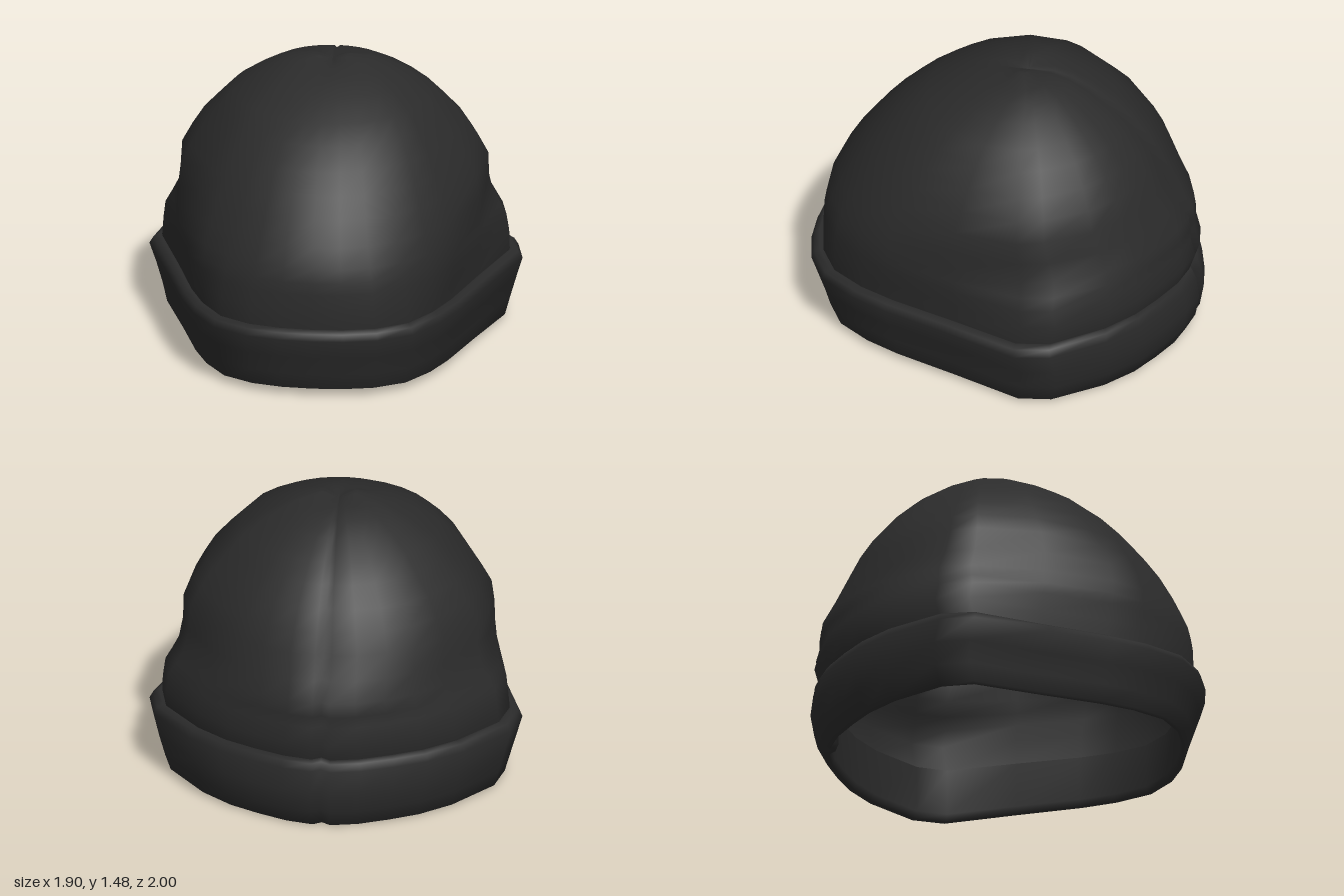
import * as THREE from 'three';

const { lerp, smoothstep } = THREE.MathUtils;

// Half of the plan outline, from the back middle round the left side to the front
const HALF = [
  [0, -1], [0.05, -1], [0.2, -0.97], [0.37, -0.9], [0.53, -0.82], [0.7, -0.69], [0.91, -0.44],
  [0.95, -0.26], [0.82, 0.13], [0.71, 0.48], [0.63, 0.67], [0.51, 0.85], [0.34, 0.95], [0.17, 0.99], [0, 1],
];
const OUTLINE = [...HALF, ...HALF.slice(1, -1).reverse().map(([x, z]) => [-x, z])];

// Cross-sections: height, half width behind, front z, back z, half width in front
const DOME = [
  [0.3, 0.87, 0.93, -0.93, 0.87], [0.39, 0.885, 0.94, -0.95, 0.885], [0.48, 0.88, 0.94, -0.98, 0.88],
  [0.57, 0.87, 0.938, -0.955, 0.865], [0.63, 0.84, 0.93, -0.955, 0.845], [0.7, 0.81, 0.915, -0.945, 0.82],
  [0.8, 0.8, 0.87, -0.89, 0.775], [0.92, 0.805, 0.8, -0.83, 0.73], [1.02, 0.75, 0.725, -0.78, 0.685],
  [1.12, 0.685, 0.64, -0.715, 0.635], [1.22, 0.59, 0.535, -0.63, 0.565], [1.3, 0.512, 0.42, -0.54, 0.5],
  [1.38, 0.39, 0.27, -0.42, 0.385], [1.43, 0.29, 0.14, -0.325, 0.29], [1.46, 0.21, 0.03, -0.23, 0.21],
  [1.484, 0.09, -0.045, -0.12, 0.09], [1.452, 0, -0.1, -0.1, 0],
];
const BAND = [
  [0.3, 0.81, 0.87, -0.89, 0.81], [0.06, 0.81, 0.87, -0.89, 0.81], [0.025, 0.83, 0.885, -0.905, 0.83],
  [0.03, 0.86, 0.905, -0.93, 0.86], [0.12, 0.885, 0.93, -0.98, 0.885], [0.23, 0.917, 0.965, -1, 0.917],
  [0.34, 0.95, 1, -0.985, 0.95], [0.375, 0.93, 0.985, -0.968, 0.93], [0.392, 0.9, 0.96, -0.955, 0.9],
  [0.37, 0.865, 0.92, -0.93, 0.865],
];
// The inside of the crown runs from its top down to the hem
const LINING = DOME.slice(2).reverse().map(([y, w, f, b, wf]) =>
  [y - 0.04, Math.max(0, w - 0.04), Math.max(-0.1, f - 0.04), Math.min(-0.1, b + 0.04), Math.max(0, wf - 0.04)]);

// Skins the sections; the outline rounds into an ellipse above the band
function loft(rows, seam) {
  const pos = [], index = [], n = OUTLINE.length;
  rows.forEach(([y, w, front, back, wFront]) => {
    const tilt = 0.02 * Math.max(0, 1 - y / 0.4);
    OUTLINE.forEach(([x, z], j) => {
      // The back keeps its wide corners higher up than the front
      const ahead = smoothstep(z, -0.2, 0.4);
      const round = smoothstep(y, lerp(0.5, 0.36, ahead), lerp(0.95, 0.85, ahead));
      const u = x / 0.95, len = Math.hypot(u, z);
      const px = lerp(u, u / len, round) * lerp(w, wFront, ahead);
      const v = lerp(z, z / len, round);
      let pz = (front + back) / 2 + v * (front - back) / 2;
      let py = y + tilt * z;
      // Sewn groove down the back and a shallow V across the crown
      if (seam && j === 0 && w > 0.1) pz += 0.028;
      if (seam && y > 1.455) py = Math.min(y, 1.452 + Math.abs(px) * 0.4);
      pos.push(px, py, pz);
    });
  });
  for (let i = 0; i < rows.length - 1; i++) {
    for (let j = 0; j < n; j++) {
      const k = (j + 1) % n;
      const a = i * n + j, b = i * n + k, c = a + n, d = b + n;
      index.push(a, c, b, b, c, d);
    }
  }
  const g = new THREE.BufferGeometry();
  g.setAttribute('position', new THREE.Float32BufferAttribute(pos, 3));
  g.setIndex(index);
  g.computeVertexNormals();
  return g;
}

export function createModel() {
  const group = new THREE.Group();
  group.name = 'knitCap';
  const wool = new THREE.MeshStandardMaterial({ color: 0x2b2b2b });
  wool.name = 'charcoal wool';

  const add = (name, rows, seam) => {
    const mesh = new THREE.Mesh(loft(rows, seam), wool);
    mesh.name = name;
    group.add(mesh);
  };
  add('crown', DOME, true);
  add('foldedBand', BAND, true);
  // Lining steps in to meet the top of the hem
  add('lining', [...LINING, [0.3, 0.835, 0.895, -0.905, 0.835], [0.28, 0.81, 0.87, -0.89, 0.81]], false);
  return group;
}
